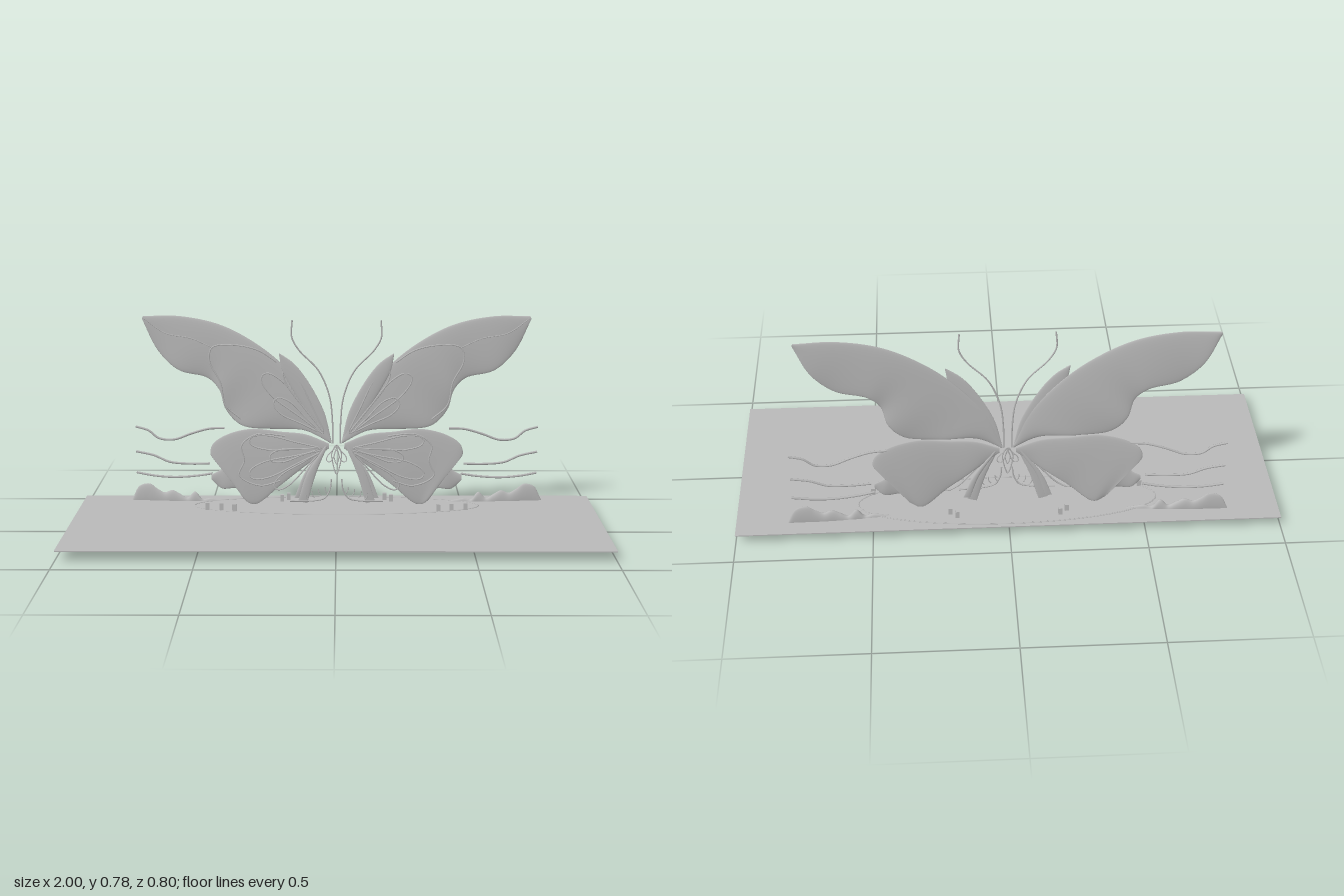
import * as THREE from 'three';

const stone = new THREE.MeshStandardMaterial({ color: 0xb8b8b8, side: THREE.DoubleSide });
stone.name = 'plain grey';

const wingZ = x => -0.25 - 0.042 * x;      // wings sweep back towards the tips
const backZ = x => -0.285 - 0.058 * x;     // streamers and clouds stand behind

function add(group, name, geometry) {
  const mesh = new THREE.Mesh(geometry, stone);
  mesh.name = name;
  group.add(mesh);
  return mesh;
}

const curve = pts => new THREE.CatmullRomCurve3(
  pts.map(([x, y]) => new THREE.Vector3(x, y, 0)), false, 'centripetal');

// Thin cushioned blade between two edge curves, closed around its rim
function blade(lead, trail, thick, z = wingZ, ripple = 0) {
  const nu = 72, na = 32, a = curve(lead), b = curve(trail), pos = [], idx = [];
  for (let i = 0; i <= nu; i++) {
    const t = i / nu, p = a.getPoint(t), q = b.getPoint(t);
    const puff = thick * Math.pow(Math.sin(Math.PI * (0.03 + 0.94 * t)), 0.5);
    for (let j = 0; j < na; j++) {
      const ang = (j / na) * Math.PI * 2, v = (1 - Math.cos(ang)) / 2;
      const x = p.x + (q.x - p.x) * v, y = p.y + (q.y - p.y) * v;
      const wave = ripple * v * v * Math.sin(t * 26);
      pos.push(x, y, z(x) + puff * Math.sin(ang) + wave);
      if (i < nu) {
        const k = i * na + j, k2 = i * na + (j + 1) % na;
        idx.push(k, k2, k + na, k2, k2 + na, k + na);
      }
    }
  }
  const g = new THREE.BufferGeometry();
  g.setAttribute('position', new THREE.Float32BufferAttribute(pos, 3));
  g.setIndex(idx);
  g.computeVertexNormals();
  return g;
}

// Round wire through front-plane points, with depth given as a rule
function wire(pts, z, r = 0.0035, closed = false) {
  const path = new THREE.CatmullRomCurve3(
    pts.map(([x, y]) => new THREE.Vector3(x, y, z(x, y))), closed, 'centripetal');
  return new THREE.TubeGeometry(path, 56, r, 6, closed);
}

// Petal-shaped loop from root a to tip b
function petal(a, b, w) {
  const dx = b[0] - a[0], dy = b[1] - a[1], l = Math.hypot(dx, dy);
  const at = (t, s) => [a[0] + dx * t - dy / l * w * s, a[1] + dy * t + dx / l * w * s];
  return [a, at(0.35, 0.5), at(0.75, 1), at(0.96, 0.6), b, at(0.96, -0.6), at(0.75, -1), at(0.35, -0.5)];
}

function makeSide() {
  const g = new THREE.Group();

  // Wings
  add(g, 'upperWing', blade(
    [[.02, .3], [.07, .43], [.16, .55], [.28, .66], [.44, .75], [.6, .785], [.745, .785]],
    [[.02, .29], [.12, .34], [.25, .345], [.37, .36], [.43, .42], [.455, .5], [.5, .545], [.61, .575], [.69, .65], [.75, .775]],
    0.009, wingZ, 0.003));
  add(g, 'lowerWing', blade(
    [[.03, .29], [.12, .325], [.22, .335], [.33, .345], [.43, .32], [.485, .28], [.49, .235], [.44, .22], [.45, .185], [.49, .16]],
    [[.03, .27], [.12, .2], [.22, .12], [.32, .042], [.36, .06], [.39, .105], [.45, .105], [.49, .14]],
    0.008, wingZ, 0.002));
  add(g, 'innerBlade', blade(
    [[.02, .3], [.05, .42], [.12, .55], [.17, .61], [.22, .645]],
    [[.025, .29], [.1, .39], [.18, .52], [.21, .58], [.222, .64]], 0.005, () => -0.251));

  // Tail ribbons
  add(g, 'innerTail', blade([[.035, .28], [.08, .17], [.115, .05]], [[.045, .28], [.115, .17], [.15, .06]], 0.004, () => -0.248));
  add(g, 'outerTail', blade([[.04, .28], [.105, .17], [.14, .07]], [[.05, .28], [.125, .17], [.165, .07]], 0.004, () => -0.254));

  // Raised veins on the wing fronts
  const face = x => wingZ(x) + 0.0075;
  const veins = [
    petal([.05, .33], [.285, .56], .035), petal([.07, .34], [.24, .46], .03),
    petal([.05, .34], [.2, .58], .025),
    petal([.06, .27], [.34, .3], .028), petal([.06, .26], [.34, .16], .032),
    petal([.07, .25], [.24, .11], .025), petal([.07, .27], [.26, .23], .025),
  ];
  veins.forEach(p => add(g, 'wingVein', wire(p, face, 0.003, true)));
  add(g, 'upperBorderVein', wire(
    [[.23, .61], [.3, .655], [.39, .675], [.48, .665], [.49, .61], [.45, .53], [.43, .44], [.37, .385]], face, 0.003));
  add(g, 'tipVein', wire([[.48, .665], [.56, .7], [.66, .72], [.74, .775]], face, 0.002));
  add(g, 'lowerBorderVein', wire(
    [[.2, .32], [.31, .325], [.37, .28], [.36, .22], [.38, .16], [.3, .12], [.22, .14]], face, 0.003));

  // Antenna
  add(g, 'antenna', wire(
    [[.015, .29], [.016, .38], [.028, .48], [.07, .58], [.145, .66], [.172, .71], [.17, .775]],
    (x, y) => -0.248 + (y - .29) * .027, 0.003));

  // Curled leg with short hairs
  add(g, 'leg', wire([[.02, .16], [.025, .12], [.045, .085], [.09, .073], [.18, .07]], x => -0.195 - x * .06, 0.003));
  for (let i = 0; i < 4; i++) {
    const x = .035 + i * .025, y = .1 - i * .008;
    add(g, 'legHair', wire([[x, y], [x + .008, y + .012], [x + .01, y + .028]], () => -0.2, 0.002));
  }

  // Wavy streamers behind the wings
  [
    [[.44, .338], [.5, .335], [.57, .315], [.64, .29], [.7, .295], [.74, .325], [.79, .34]],
    [[.5, .195], [.58, .193], [.66, .2], [.72, .225], [.79, .24]],
    [[.49, .155], [.55, .145], [.64, .138], [.72, .143], [.79, .155]],
  ].forEach(p => add(g, 'streamer', wire(p, backZ, 0.0045)));

  // Cloud bank: flat hull with a bumpy crest
  const hull = add(g, 'cloudHull', new THREE.SphereGeometry(1, 40, 16));
  hull.scale.set(.195, .022, .013);
  hull.position.set(.615, .025, backZ(.615));
  hull.rotation.y = .058;
  add(g, 'cloudCrest', blade(
    [[.42, .04], [.47, .05], [.5, .055], [.53, .05], [.56, .08], [.59, .055], [.62, .07], [.65, .085], [.68, .075], [.71, .09], [.74, .11], [.78, .1], [.81, .045]],
    [[.42, .025], [.615, .015], [.81, .025]], 0.011, backZ));

  // Little blocks standing on the ground
  const block = new THREE.BoxGeometry(.015, .03, .015);
  [[.5, -.178], [.445, -.172], [.395, -.158], [.215, -.312], [.19, -.333]].forEach(([x, z]) =>
    add(g, 'groundBlock', block).position.set(x, .055, z));
  return g;
}

export function createModel() {
  const model = new THREE.Group();
  model.name = 'butterflyDisplay';

  // Ground sheet
  add(model, 'ground', new THREE.BoxGeometry(2, .004, .8)).position.y = .041;

  // Oval line lying on the ground
  const oval = [];
  for (let i = 0; i < 48; i++) {
    const a = i / 48 * Math.PI * 2;
    oval.push(new THREE.Vector3(.555 * Math.cos(a), .043, -.243 + .14 * Math.sin(a)));
  }
  add(model, 'groundOval', new THREE.TubeGeometry(new THREE.CatmullRomCurve3(oval, true), 160, .0028, 6, true));

  // Wire body: nested loops
  const bodyZ = () => -0.243;
  add(model, 'bodyOutline', wire([[0, .285], [.018, .255], [.017, .225], [0, .17], [-.017, .225], [-.018, .255]], bodyZ, .0025, true));
  add(model, 'bodyCore', wire([[0, .265], [.009, .24], [0, .21], [-.009, .24]], () => -0.239, .002, true));

  // Mirrored halves
  for (const s of [1, -1]) {
    const side = makeSide();
    side.name = s > 0 ? 'leftHalf' : 'rightHalf';
    const loop = petal([0, .28], [.034, .22], .012);
    add(side, 'bodyLoop', wire(loop, () => -0.241, .002, true));
    side.scale.x = s;
    model.add(side);
  }
  return model;
}
